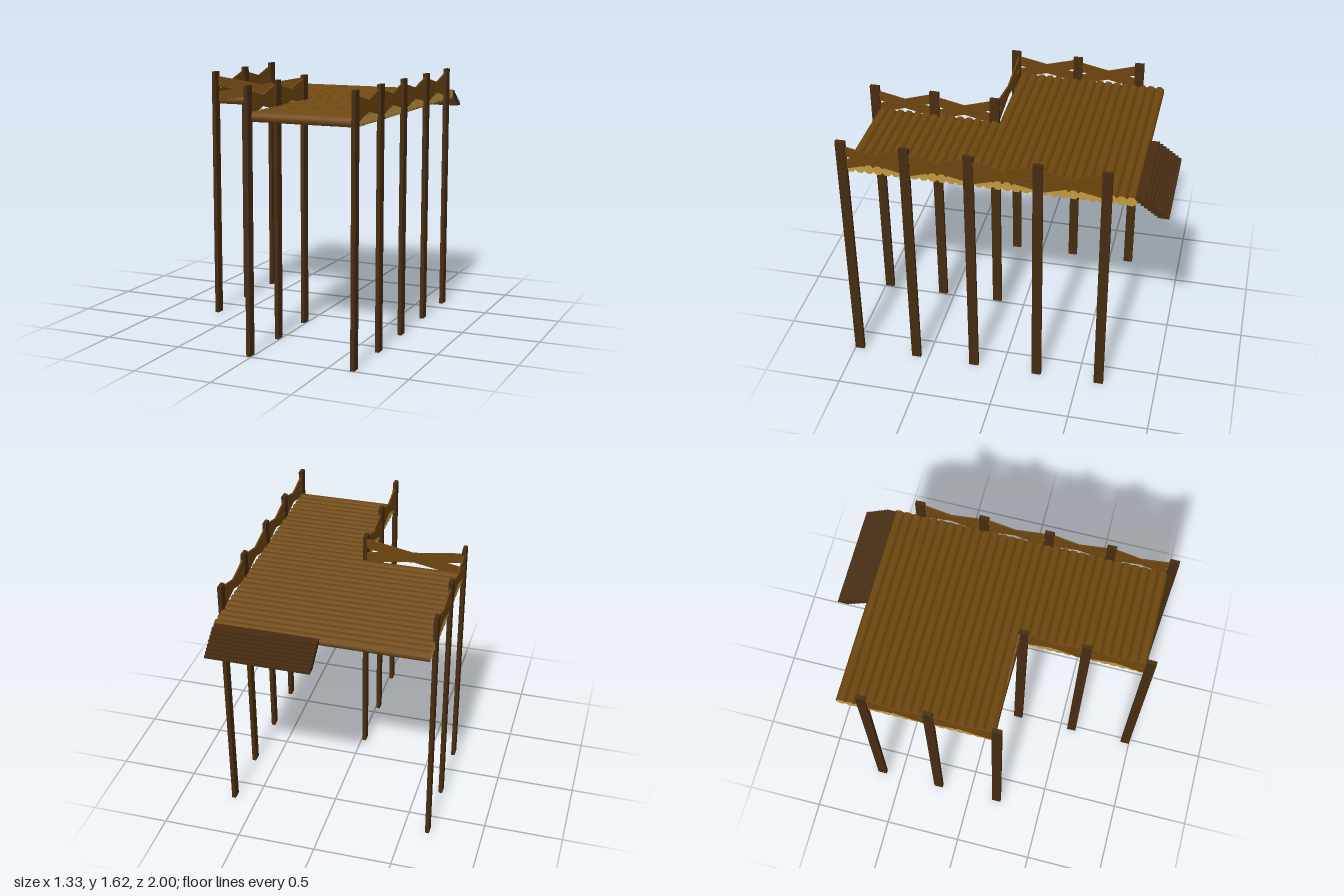
import * as THREE from 'three';

const mat = (name, color) => {
  const m = new THREE.MeshStandardMaterial({ color });
  m.name = name;
  return m;
};

export function createModel() {
  const model = new THREE.Group();
  model.name = 'woodenPlatform';
  const postWood = mat('dark post wood', 0x472c10);
  const barkWood = mat('brown log wood', 0x70480f);
  const cutWood = mat('pale cut wood', 0xc19a41);
  const railWood = mat('brown rail wood', 0x6d450f);

  const add = (name, geometry, material, x, y, z) => {
    const mesh = new THREE.Mesh(geometry, material);
    mesh.name = name;
    mesh.position.set(x, y, z);
    model.add(mesh);
    return mesh;
  };

  const LEFT = 0.653, MID = -0.019, RIGHT = -0.655;
  const rows = [0.97, 0.58, 0.19, -0.227, -0.635];

  // Posts: five on the long side, three on each part of the stepped side
  const postGeo = new THREE.BoxGeometry(0.025, 1.62, 0.06);
  const post = (x, z) => add('post', postGeo, postWood, x, 0.81, z);
  rows.forEach(z => post(LEFT, z));
  rows.slice(0, 3).forEach(z => post(MID, z));
  rows.slice(2).forEach(z => post(RIGHT, z));

  // Deck logs: eight-sided, with pale cut ends
  const logGeo = length => {
    const g = new THREE.CylinderGeometry(0.0322, 0.0322, length, 8);
    g.rotateY(Math.PI / 8);
    g.rotateZ(Math.PI / 2);
    return g;
  };
  const span = (a, b) => ({ geo: logGeo(b - a), x: (a + b) / 2 });
  const wide = span(-0.655, 0.646), narrow = span(-0.016, 0.646);
  for (let i = 0; i < 31; i++) {
    const s = i < 17 ? wide : narrow;
    add('deckLog', s.geo, [barkWood, cutWood, cutWood], s.x, 1.435, -0.775 + i * 0.0565);
  }

  // Crossed rail: two sheared planks whose ends stay vertical
  const plankGeo = (length, yStart, yEnd) => {
    const h = 0.032;
    const shape = new THREE.Shape([
      new THREE.Vector2(0, yStart - h), new THREE.Vector2(length, yEnd - h),
      new THREE.Vector2(length, yEnd + h), new THREE.Vector2(0, yStart + h),
    ]);
    const g = new THREE.ExtrudeGeometry(shape, { depth: 0.01, bevelEnabled: false });
    return g.translate(0, 0, -0.005);
  };
  const crossRail = (x, z, length, turn) => {
    const rail = new THREE.Group();
    rail.name = 'crossRail';
    [[1.557, 1.472, 0.001], [1.455, 1.573, -0.001]].forEach(([a, b, offset]) => {
      const plank = new THREE.Mesh(plankGeo(length, a, b), railWood);
      plank.name = 'railPlank';
      plank.position.z = offset;
      rail.add(plank);
    });
    rail.position.set(x, 0, z);
    rail.rotation.y = turn;
    model.add(rail);
  };
  const sideRails = (x, first, last) => {
    for (let i = first; i < last; i++) crossRail(x, rows[i], rows[i] - rows[i + 1], Math.PI / 2);
  };
  sideRails(LEFT, 0, 4);
  sideRails(MID, 0, 2);
  sideRails(RIGHT, 2, 4);
  crossRail(RIGHT, 0.17, MID - RIGHT, 0);

  // Sloping flight of overlapping boards at the back
  const boardGeo = new THREE.BoxGeometry(0.64, 0.0155, 0.07);
  for (let i = 0; i < 8; i++) {
    add('stepBoard', boardGeo, postWood, 0.318, 1.448 - i * 0.0143, -0.825 - i * 0.02);
  }

  return model;
}
